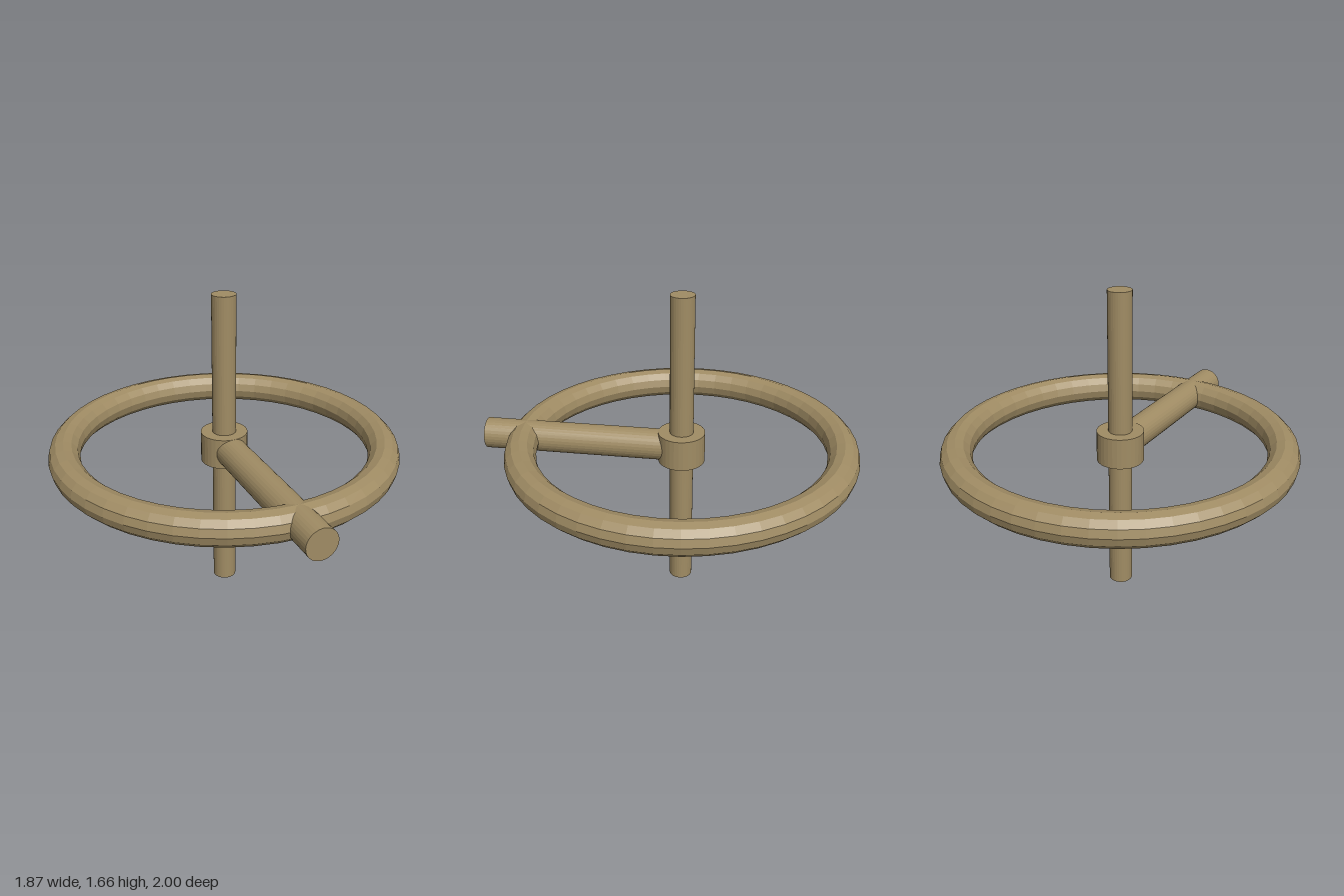
import * as THREE from 'three';

export function createModel() {
  const model = new THREE.Group();
  const material = new THREE.MeshStandardMaterial({ color: 0xa08c64, flatShading: true });
  const midY = 0.83, axisZ = -0.067, tube = 0.083;

  const add = (name, geometry, y, z) => {
    const mesh = new THREE.Mesh(geometry, material);
    mesh.name = name;
    mesh.position.set(0, y, z);
    model.add(mesh);
    return mesh;
  };

  // upright axle
  add('axle', new THREE.CylinderGeometry(0.063, 0.063, 1.66, 32), midY, axisZ);

  // collar around the axle
  add('hub', new THREE.CylinderGeometry(0.125, 0.125, 0.166, 32), midY, axisZ);

  // horizontal ring
  const ring = new THREE.TorusGeometry(0.85, tube, 12, 48).rotateX(Math.PI / 2);
  add('ring', ring, midY, axisZ);

  // single spoke from the hub out past the ring
  const length = 1 - axisZ;
  const spoke = new THREE.CylinderGeometry(tube, tube, length, 32).rotateX(Math.PI / 2);
  add('spoke', spoke, midY, axisZ + length / 2);

  return model;
}
